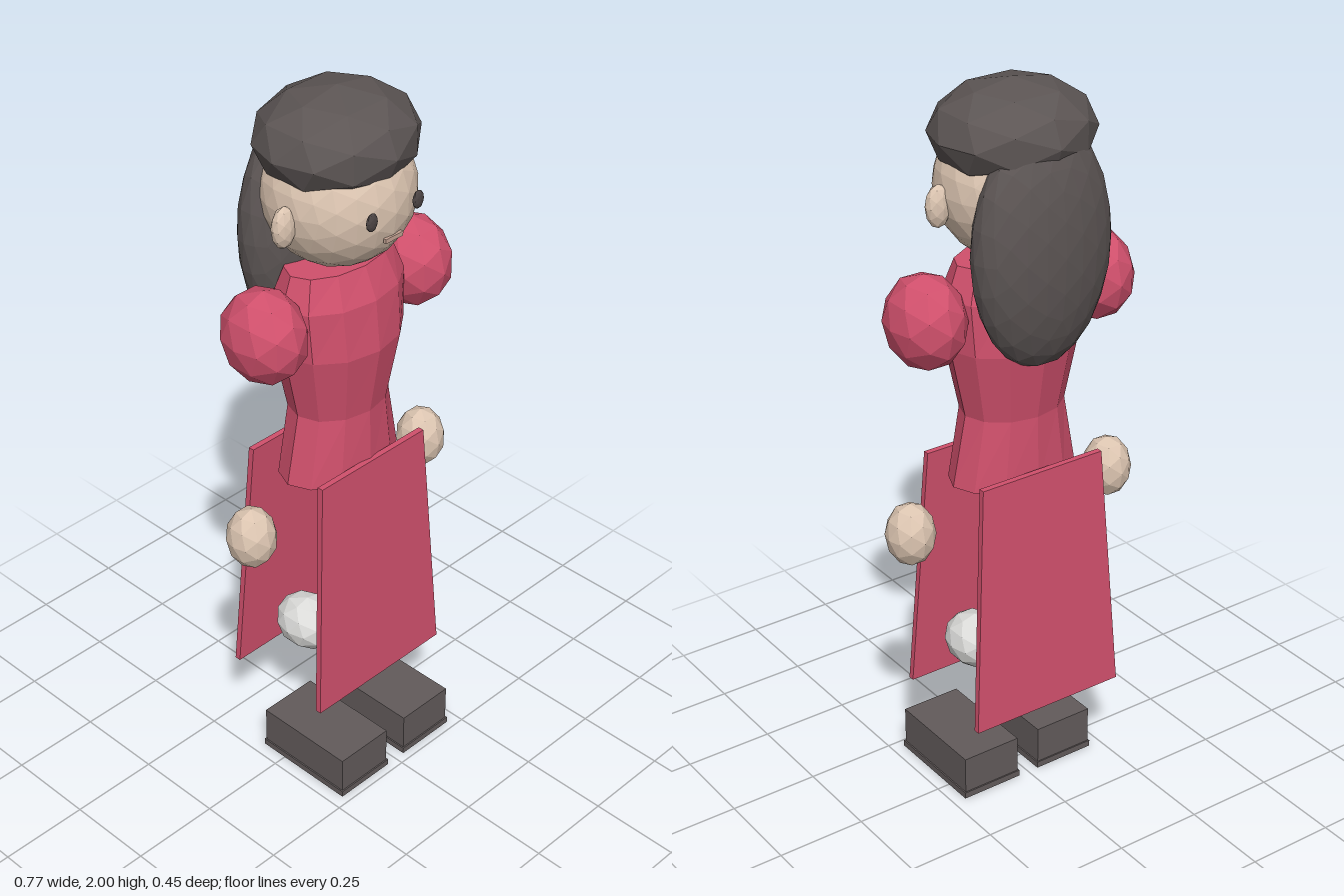
import * as THREE from 'three';

const mat = (name, color, flatShading = true) => {
  const m = new THREE.MeshStandardMaterial({ color, flatShading });
  m.name = name;
  return m;
};

export function createModel() {
  const model = new THREE.Group();
  model.name = 'figure';
  const red = mat('red cloth', 0xd0506c);
  const skin = mat('skin', 0xdcc5b1);
  const hairDark = mat('dark hair', 0x5c5554);
  const shoeGrey = mat('shoe leather', 0x625b5b);
  const pale = mat('pale grey', 0xdcdcda);
  const eyeDark = mat('eye', 0x4c4444);
  const lip = mat('lip', 0xc4a494);

  const add = (name, geometry, material, x = 0, y = 0, z = 0) => {
    const mesh = new THREE.Mesh(geometry, material);
    mesh.name = name;
    mesh.position.set(x, y, z);
    model.add(mesh);
    return mesh;
  };
  // Faceted ellipsoid
  const blob = (name, material, [x, y, z], [rx, ry, rz], detail = 1) =>
    add(name, new THREE.IcosahedronGeometry(1, detail).scale(rx, ry, rz), material, x, y, z);

  // Head and hair
  blob('head', skin, [0, 1.73, 0], [0.197, 0.197, 0.195], 3);
  blob('hairCap', hairDark, [0, 1.87, -0.004], [0.217, 0.13, 0.2]);
  blob('backHair', hairDark, [0, 1.6, -0.125], [0.201, 0.322, 0.104], 3);
  add('mouth', new THREE.BoxGeometry(0.06, 0.012, 0.009), lip, 0, 1.662, 0.185);

  // Bodice: stacked elliptical rings of [y, half width, half depth], closed at both ends
  const rings = [
    [0.93, 0.185, 0.12], [1.125, 0.146, 0.114], [1.32, 0.188, 0.146],
    [1.46, 0.196, 0.132], [1.545, 0.165, 0.094],
  ];
  const sides = 12;
  const bodice = new THREE.CylinderGeometry(1, 1, 1, sides, rings.length - 1);
  const bp = bodice.attributes.position;
  for (let i = 0; i < bp.count; i++) {
    const [y, rx, rz] = rings[Math.round((bp.getY(i) + 0.5) * (rings.length - 1))];
    bp.setXYZ(i, bp.getX(i) * rx, y, bp.getZ(i) * rz);
  }
  bodice.computeVertexNormals();
  add('bodice', bodice, red);

  // Skirt panels: thin slabs that flare outward and widen toward the hem
  const skirtPanel = (name, topZ, hemZ) => {
    const g = new THREE.BoxGeometry(1, 1, 0.017);
    const p = g.attributes.position;
    for (let i = 0; i < p.count; i++) {
      const top = p.getY(i) > 0;
      p.setXYZ(i, p.getX(i) * (top ? 0.376 : 0.462), top ? 0.98 : 0.275,
        p.getZ(i) + (top ? topZ : hemZ));
    }
    g.computeVertexNormals();
    add(name, g, red);
  };
  skirtPanel('frontSkirtPanel', 0.121, 0.152);
  skirtPanel('backSkirtPanel', -0.131, -0.162);

  // Paired parts
  for (const [side, s] of [['left', 1], ['right', -1]]) {
    blob(`${side}Ear`, skin, [s * 0.205, 1.705, 0.02], [0.035, 0.057, 0.026]);
    blob(`${side}Eye`, eyeDark, [s * 0.08, 1.735, 0.19], [0.018, 0.025, 0.009]);
    blob(`${side}PuffSleeve`, red, [s * 0.26, 1.42, 0.003], [0.102, 0.127, 0.121]);
    blob(`${side}Hand`, skin, [s * 0.318, 0.836, 0.002], [0.066, 0.088, 0.069]);
    blob(`${side}Knee`, pale, [s * 0.12, 0.444, 0.002], [0.077, 0.077, 0.093]);
    add(`${side}Shoe`, new THREE.BoxGeometry(0.174, 0.107, 0.298), shoeGrey, s * 0.122, 0.0715, 0.073);
    add(`${side}Sole`, new THREE.BoxGeometry(0.182, 0.018, 0.306), shoeGrey, s * 0.122, 0.009, 0.073);
  }
  return model;
}
